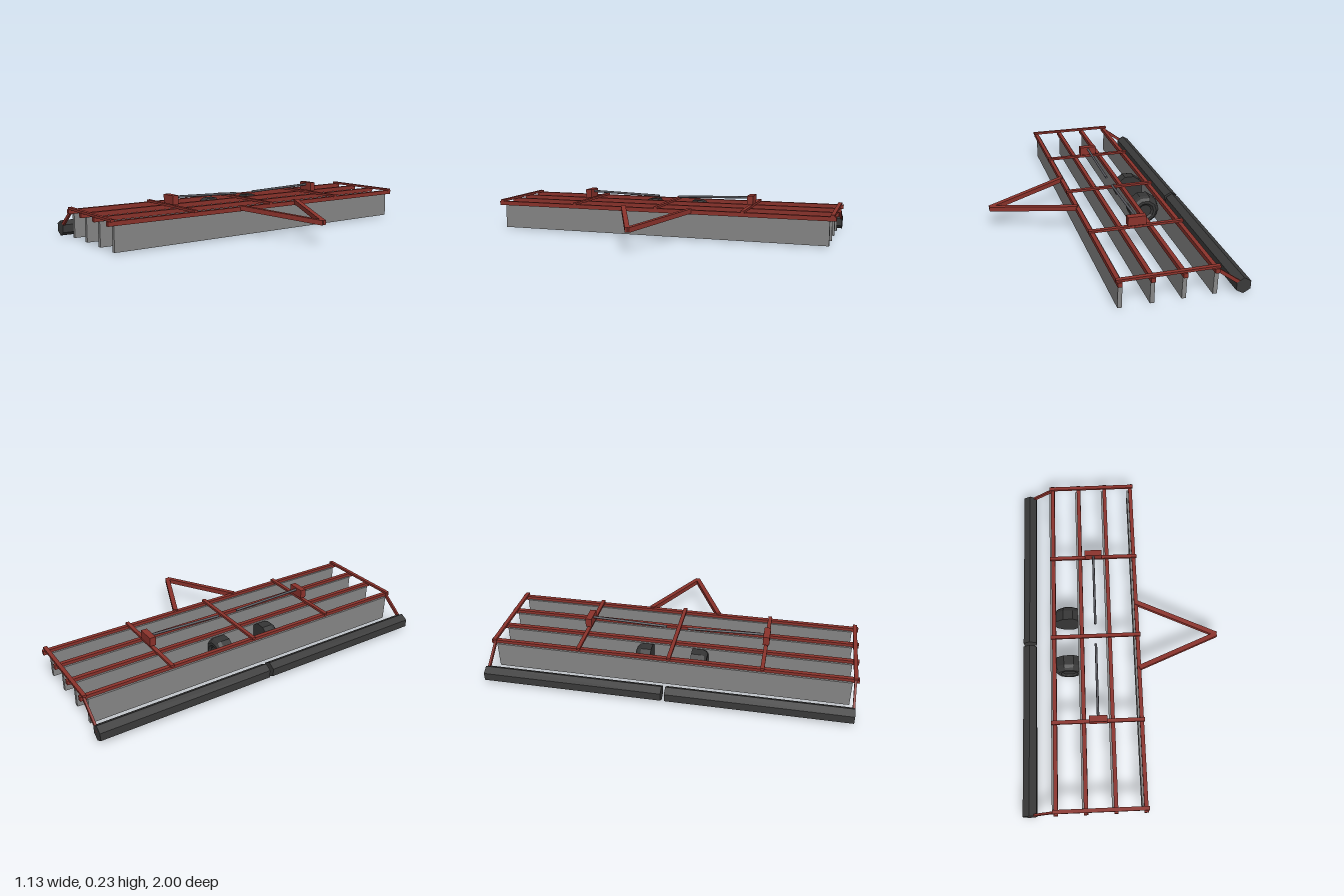
import * as THREE from 'three';

const mat = (name, color) => {
  const m = new THREE.MeshStandardMaterial({ color });
  m.name = name;
  return m;
};

export function createModel() {
  const root = new THREE.Group();
  root.name = 'landLeveller';
  const red = mat('frame red', 0x8b322b);
  const steel = mat('blade grey', 0x868686);
  const black = mat('roller black', 0x3a3a3a);
  const rubber = mat('tyre black', 0x363636);
  const rodGrey = mat('rod grey', 0x5a5a60);
  rubber.flatShading = true;
  black.flatShading = true;

  const add = (name, geo, material, x = 0, y = 0, z = 0) => {
    const m = new THREE.Mesh(geo, material);
    m.name = name;
    m.position.set(x, y, z);
    root.add(m);
    return m;
  };
  const box = (name, w, h, d, material, x, y, z) =>
    add(name, new THREE.BoxGeometry(w, h, d), material, x, y, z);
  // rectangular bar running between two points
  const bar = (name, a, b, w, h, material) => {
    const p = new THREE.Vector3(...a), q = new THREE.Vector3(...b);
    const m = box(name, w, h, p.distanceTo(q), material, 0, 0, 0);
    m.position.copy(p).add(q).multiplyScalar(0.5);
    m.lookAt(q);
    return m;
  };

  // long rails, each with a scraper blade hanging beneath
  for (const x of [-0.38, -0.22, -0.06, 0.1]) {
    box('longRail', 0.022, 0.024, 2, red, x, 0.159, 0);
    box('blade', 0.022, 0.143, 1.93, steel, x - 0.011, 0.0825, 0);
  }

  // short beams tying the rails together
  for (const z of [-0.98, -0.5, 0, 0.5, 0.98])
    box('crossBeam', 0.516, 0.013, 0.021, red, -0.141, 0.175, z);

  // wheel profile: flat inner side, rounded outer shoulder, dished hub
  const profile = [
    [0, 0.11], [0.088, 0.11], [0.088, 0.165], [0.081, 0.183],
    [0.066, 0.195], [0.05, 0.195], [0.038, 0.186], [0, 0.186],
  ].map(([r, d]) => new THREE.Vector2(r, d));

  for (const s of [-1, 1]) {
    // wheel, decagonal with a flat side down
    const wheel = add('wheel', new THREE.LatheGeometry(profile, 10, Math.PI / 2), rubber, -0.299, 0.089, 0);
    wheel.rotation.x = s * Math.PI / 2;

    // hexagonal rear roller and its arm
    const roller = add('rearRoller', new THREE.CylinderGeometry(0.043, 0.043, 0.976, 6), black, -0.53, 0.047, s * 0.498);
    roller.rotation.x = Math.PI / 2;
    bar('rollerArm', [-0.38, 0.162, s * 0.98], [-0.53, 0.05, s * 0.98], 0.012, 0.018, red);

    // lift box on a short foot, with its rod reaching inwards
    box('liftBox', 0.1, 0.05, 0.035, red, -0.14, 0.212, s * 0.5);
    box('liftBoxFoot', 0.03, 0.012, 0.015, red, -0.14, 0.184, s * 0.5);
    const a = new THREE.Vector3(-0.14, 0.223, s * 0.485);
    const b = new THREE.Vector3(-0.14, 0.21, s * 0.06);
    const rod = add('liftRod', new THREE.CylinderGeometry(0.007, 0.007, a.distanceTo(b), 8), rodGrey);
    rod.position.copy(a).add(b).multiplyScalar(0.5);
    rod.quaternion.setFromUnitVectors(new THREE.Vector3(0, 1, 0), b.clone().sub(a).normalize());

    // drawbar leg sloping down to the hitch point
    bar('drawbarLeg', [0.1, 0.166, s * 0.2], [0.558, 0.123, 0], 0.026, 0.026, red);
  }
  return root;
}
